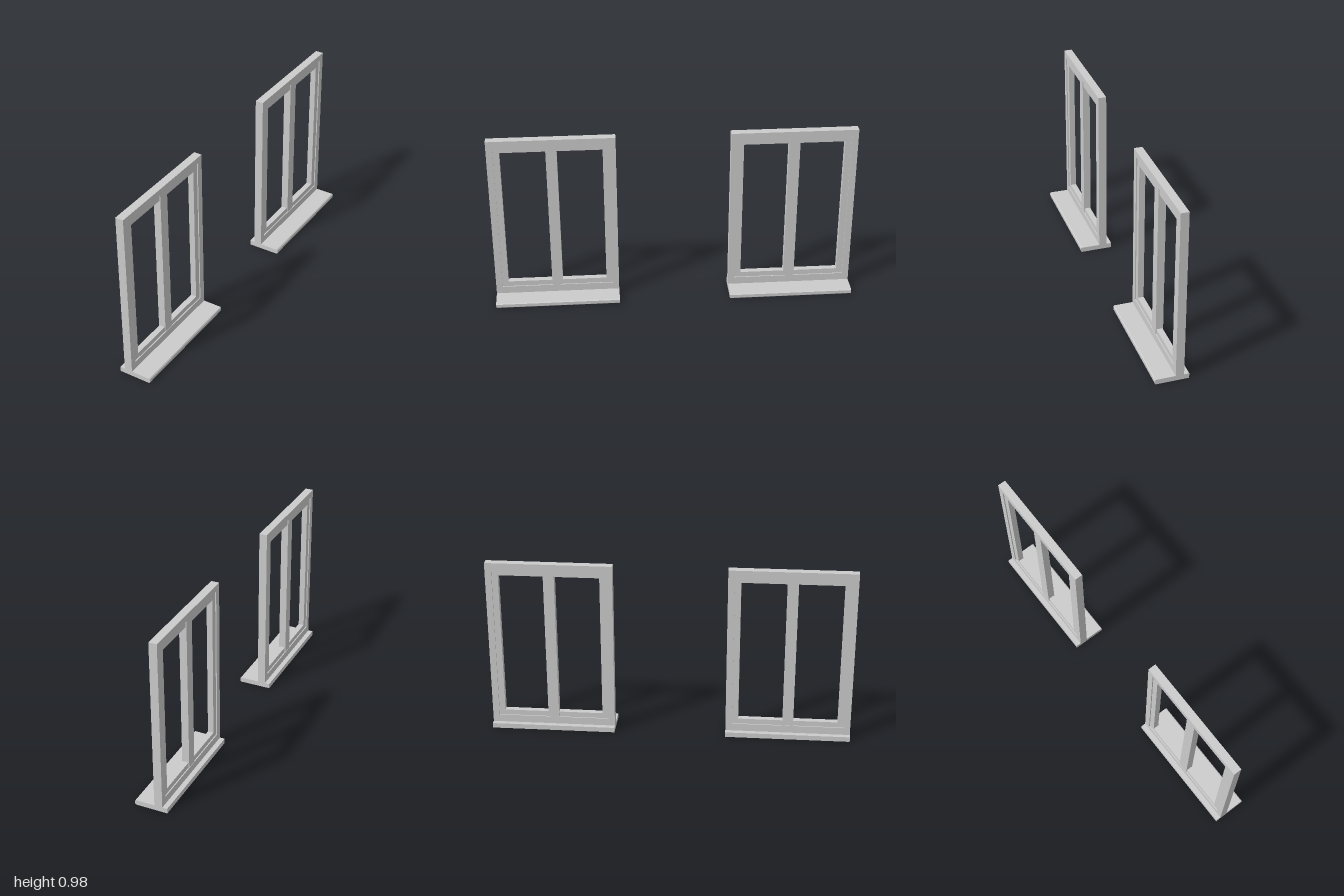
import * as THREE from 'three';

const material = new THREE.MeshStandardMaterial({ color: 0xcccccc, flatShading: true });
const FRAME_X = -0.0425; // middle plane of the window frame

// Counter-clockwise rectangle, drawn on a shape or a hole path
function rect(path, u0, v0, u1, v1) {
  path.moveTo(u0, v0);
  path.lineTo(u1, v0);
  path.lineTo(u1, v1);
  path.lineTo(u0, v1);
  path.closePath();
  return path;
}

// Flat panel in the z-y plane with rectangular openings, centred on FRAME_X
function panel(name, outer, openings, thickness) {
  const shape = rect(new THREE.Shape(), ...outer);
  for (const o of openings) shape.holes.push(rect(new THREE.Path(), ...o));
  const geometry = new THREE.ExtrudeGeometry(shape, { depth: thickness, bevelEnabled: false });
  geometry.translate(0, 0, -thickness / 2);
  geometry.rotateY(-Math.PI / 2); // shape u becomes +z
  geometry.translate(FRAME_X, 0, 0);
  const mesh = new THREE.Mesh(geometry, material);
  mesh.name = name;
  return mesh;
}

// Window ledge with a slightly eased nose on the deep side
function createSill(width) {
  const s = new THREE.Shape();
  s.moveTo(-0.093, 0);
  s.lineTo(0.086, 0);
  s.lineTo(0.091, 0.005);
  s.lineTo(0.091, 0.023);
  s.lineTo(0.086, 0.028);
  s.lineTo(-0.093, 0.028);
  s.closePath();
  const geometry = new THREE.ExtrudeGeometry(s, { depth: width, bevelEnabled: false });
  geometry.translate(0, 0, -width / 2);
  const mesh = new THREE.Mesh(geometry, material);
  mesh.name = 'sill';
  return mesh;
}

function createWindow() {
  const group = new THREE.Group();
  const w = 0.345; // half width
  const inner = [-0.309, 0.07, 0.309, 0.945];

  group.add(createSill(w * 2));
  group.add(panel('outerFrame', [-w, 0.028, w, 0.98], [inner], 0.045));

  // Recessed sash with two tall openings
  group.add(panel('sash', inner, [
    [-0.275, 0.1, -0.03, 0.91],
    [0.03, 0.1, 0.275, 0.91],
  ], 0.033));

  // Central post standing proud of the sash
  const mullion = new THREE.Mesh(new THREE.BoxGeometry(0.041, 0.875, 0.06), material);
  mullion.position.set(FRAME_X, 0.5075, 0);
  mullion.name = 'mullion';
  group.add(mullion);
  return group;
}

export function createModel() {
  const model = new THREE.Group();
  model.name = 'windowPair';
  for (const side of [1, -1]) {
    const win = createWindow();
    win.name = side > 0 ? 'frontWindow' : 'backWindow';
    win.position.z = side * 0.655;
    model.add(win);
  }
  return model;
}
